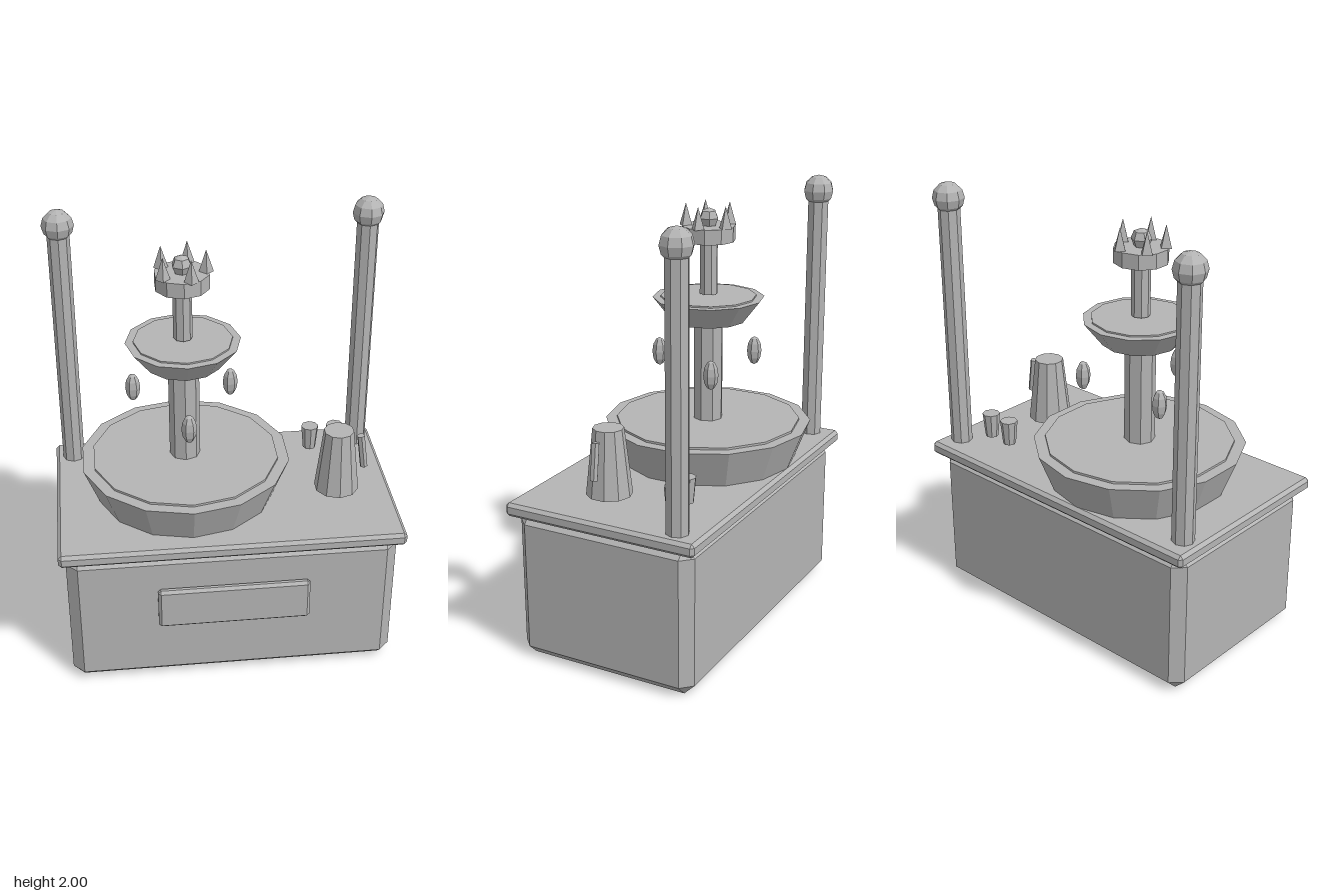
import * as THREE from 'three';
import { ConvexGeometry } from 'three/addons/geometries/ConvexGeometry.js';

export function createModel() {
  const model = new THREE.Group();
  model.name = 'fountainStand';
  const grey = new THREE.MeshStandardMaterial({ color: 0xb4b4b4 });
  grey.name = 'plain grey';

  // Adds a mesh with faceted normals
  function add(name, geometry, x, y, z, parent = model) {
    const flat = geometry.index ? geometry.toNonIndexed() : geometry;
    flat.computeVertexNormals();
    const mesh = new THREE.Mesh(flat, grey);
    mesh.name = name;
    mesh.position.set(x, y, z);
    parent.add(mesh);
    return mesh;
  }

  // Tapered cylinder standing between two heights
  function column(name, rTop, rBottom, y0, y1, sides, x, z, parent) {
    return add(name, new THREE.CylinderGeometry(rTop, rBottom, y1 - y0, sides), x, (y0 + y1) / 2, z, parent);
  }

  // Box with every edge cut by c
  function chamferBox(w, h, d, c) {
    const points = [];
    for (const sx of [-1, 1]) for (const sy of [-1, 1]) for (const sz of [-1, 1]) {
      const [x, y, z] = [w / 2, h / 2, d / 2];
      points.push(
        new THREE.Vector3(sx * x, sy * (y - c), sz * (z - c)),
        new THREE.Vector3(sx * (x - c), sy * y, sz * (z - c)),
        new THREE.Vector3(sx * (x - c), sy * (y - c), sz * z));
    }
    return new ConvexGeometry(points);
  }

  // Stand
  add('standBody', chamferBox(1.48, 0.69, 0.856, 0.05), 0, 0.345, 0.022);
  add('counterTop', chamferBox(1.54, 0.062, 0.92, 0.015), 0, 0.706, 0.02);
  add('frontPanel', chamferBox(0.684, 0.202, 0.04, 0.013), 0, 0.414, 0.469);

  // Rear posts with ball finials
  for (const [side, x] of [['left', 0.686], ['right', -0.686]]) {
    column(side + 'Post', 0.05, 0.05, 0.72, 1.9, 8, x, -0.324);
    add(side + 'PostBall', new THREE.SphereGeometry(0.072, 8, 6), x, 1.929, -0.324);
  }

  // Tiered fountain
  const fountain = new THREE.Group();
  fountain.name = 'fountain';
  fountain.position.set(-0.173, 0, -0.016);
  model.add(fountain);
  column('lowerBasin', 0.478, 0.41, 0.737, 0.913, 14, 0, 0, fountain);
  column('lowerLiquid', 0.426, 0.426, 0.9, 0.923, 14, 0, 0, fountain);
  column('lowerColumn', 0.069, 0.069, 0.915, 1.4, 8, 0, 0, fountain);
  column('upperBasin', 0.254, 0.172, 1.395, 1.5, 12, 0, 0, fountain);
  column('upperLiquid', 0.218, 0.218, 1.49, 1.507, 12, 0, 0, fountain);
  column('upperColumn', 0.042, 0.042, 1.515, 1.765, 8, 0, 0, fountain);

  // Spiked crown with a centre bead
  column('crownBase', 0.121, 0.121, 1.758, 1.825, 10, 0, 0, fountain);
  for (let i = 0; i < 5; i++) {
    const a = i * Math.PI * 2 / 5;
    add('crownSpike', new THREE.ConeGeometry(0.032, 0.1, 4),
      0.104 * Math.cos(a), 1.873, 0.104 * Math.sin(a), fountain);
  }
  const bead = add('crownBead', new THREE.SphereGeometry(0.046, 6, 4), 0, 1.858, 0, fountain);
  bead.rotation.y = Math.PI / 6;

  // Drops hanging in the air round the column
  for (let i = 0; i < 3; i++) {
    const a = Math.PI / 2 + i * Math.PI * 2 / 3;
    const drop = new THREE.SphereGeometry(0.034, 6, 6).scale(1, 2, 1);
    add('drop', drop, 0.257 * Math.cos(a), 1.205, 0.257 * Math.sin(a), fountain);
  }

  // Pitcher with a slanted handle
  column('pitcher', 0.068, 0.102, 0.764, 1.066, 10, 0.514, 0.105);
  const handle = column('pitcherHandle', 0.018, 0.018, 0.866, 1.031, 6, 0.627, 0.105);
  handle.rotation.z = 0.13;

  // Small cups
  for (const x of [0.445, 0.565]) column('cup', 0.041, 0.03, 0.766, 0.882, 8, x, -0.238);

  return model;
}
